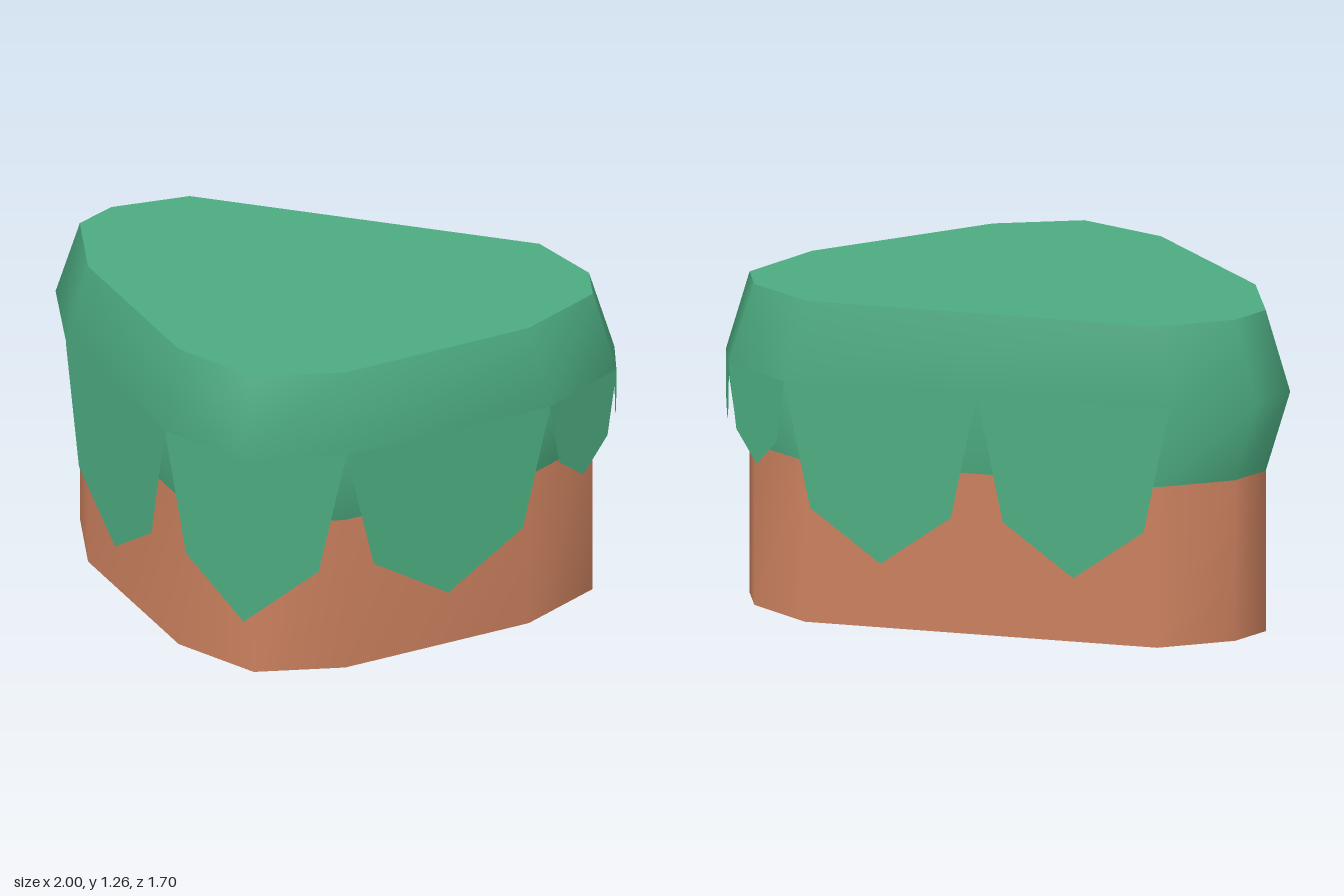
import * as THREE from 'three';

// Outline corners [x, z] of the rim, and of the top face / earth wall
const RIM = [[0.53, -0.85], [0.85, -0.8], [0.98, -0.67], [1, -0.28], [0.7, 0.53], [0.44, 0.82],
  [0.06, 0.845], [-0.71, 0.56], [-1, 0.3], [-1, 0.11], [-0.82, -0.185]];
const CORE = [[0.48, -0.785], [0.775, -0.74], [0.9, -0.625], [0.908, -0.26], [0.64, 0.47], [0.41, 0.73],
  [0.05, 0.757], [-0.65, 0.5], [-0.908, 0.265], [-0.908, 0.09], [-0.75, -0.175]];
const TOP = 1.26, MID = 0.95, SEAM = 0.63;

// Smooth wall through a stack of [outline, height] rings, bottom to top
function wall(rings) {
  const pos = [], idx = [], n = CORE.length;
  rings.forEach(([ring, y], r) => ring.forEach(([x, z], i) => {
    pos.push(x, y, z);
    if (r === 0) return;
    const j = (i + 1) % n, a = (r - 1) * n + i, b = (r - 1) * n + j;
    idx.push(a, a + n, b, b, a + n, b + n);
  }));
  const g = new THREE.BufferGeometry();
  g.setAttribute('position', new THREE.Float32BufferAttribute(pos, 3));
  g.setIndex(idx);
  g.computeVertexNormals();
  return g;
}

// Flat lid facing up (dir = 1) or down (dir = -1)
function cap(y, dir) {
  const shape = new THREE.Shape(CORE.map(([x, z]) => new THREE.Vector2(x, -dir * z)));
  return new THREE.ShapeGeometry(shape).rotateX(-dir * Math.PI / 2).translate(0, y, 0);
}

// Pointed flap hanging from the rim along a -> m -> b, tip below m
function flap(a, m, b, shoulder, tip) {
  const mix = (p, q, t) => [p[0] + (q[0] - p[0]) * t, p[1] + (q[1] - p[1]) * t];
  const cols = [[mix(a, m, 0.01), 0.93], [mix(a, m, 0.27), shoulder], [m, tip],
    [mix(m, b, 0.73), shoulder], [mix(m, b, 0.99), 0.93]];
  const pos = [];
  for (let i = 0; i < 4; i++) {
    const [[x0, z0], y0] = cols[i], [[x1, z1], y1] = cols[i + 1];
    pos.push(x0, y0, z0, x0, MID, z0, x1, y1, z1);
    pos.push(x1, y1, z1, x0, MID, z0, x1, MID, z1);
  }
  const g = new THREE.BufferGeometry();
  g.setAttribute('position', new THREE.Float32BufferAttribute(pos, 3));
  g.computeVertexNormals();
  return g;
}

export function createModel() {
  const grass = new THREE.MeshStandardMaterial({ name: 'grassGreen', color: 0x4cab80, side: THREE.DoubleSide });
  const earth = new THREE.MeshStandardMaterial({ name: 'earthBrown', color: 0xc97f5d });
  const model = new THREE.Group();
  model.name = 'grassyCliff';
  const add = (name, geometry, material) => {
    const mesh = new THREE.Mesh(geometry, material);
    mesh.name = name;
    model.add(mesh);
  };

  // Earth block
  add('earthWall', wall([[CORE, 0], [CORE, SEAM]]), earth);
  add('earthBase', cap(0, -1), earth);

  // Grass layer bulging out at the rim
  add('grassBand', wall([[CORE, SEAM], [RIM, MID], [CORE, TOP]]), grass);
  add('grassTop', cap(TOP, 1), grass);

  // Hanging grass flaps: long edges reach lower than short ones
  const half = (p, q) => [(p[0] + q[0]) / 2, (p[1] + q[1]) / 2];
  const backMid = half(RIM[10], RIM[0]);
  const flaps = [
    ['backLeftFlap', RIM[0], RIM[1], 0.7, 0.59],
    ['cornerFlap', RIM[1], RIM[2], 0.77, 0.7],
    ['leftRearFlap', RIM[2], RIM[3], 0.69, 0.58],
    ['leftFrontFlap', RIM[3], RIM[4], 0.46, 0.26],
    ['frontFlap', RIM[6], RIM[7], 0.46, 0.26],
    ['backRightFlap', RIM[10], backMid, 0.46, 0.26],
    ['backMiddleFlap', backMid, RIM[0], 0.46, 0.26],
  ];
  for (const [name, a, b, shoulder, tip] of flaps) add(name, flap(a, half(a, b), b, shoulder, tip), grass);
  // This one folds around the front corner
  add('foldedFrontFlap', flap(RIM[4], RIM[5], RIM[6], 0.46, 0.26), grass);

  return model;
}
